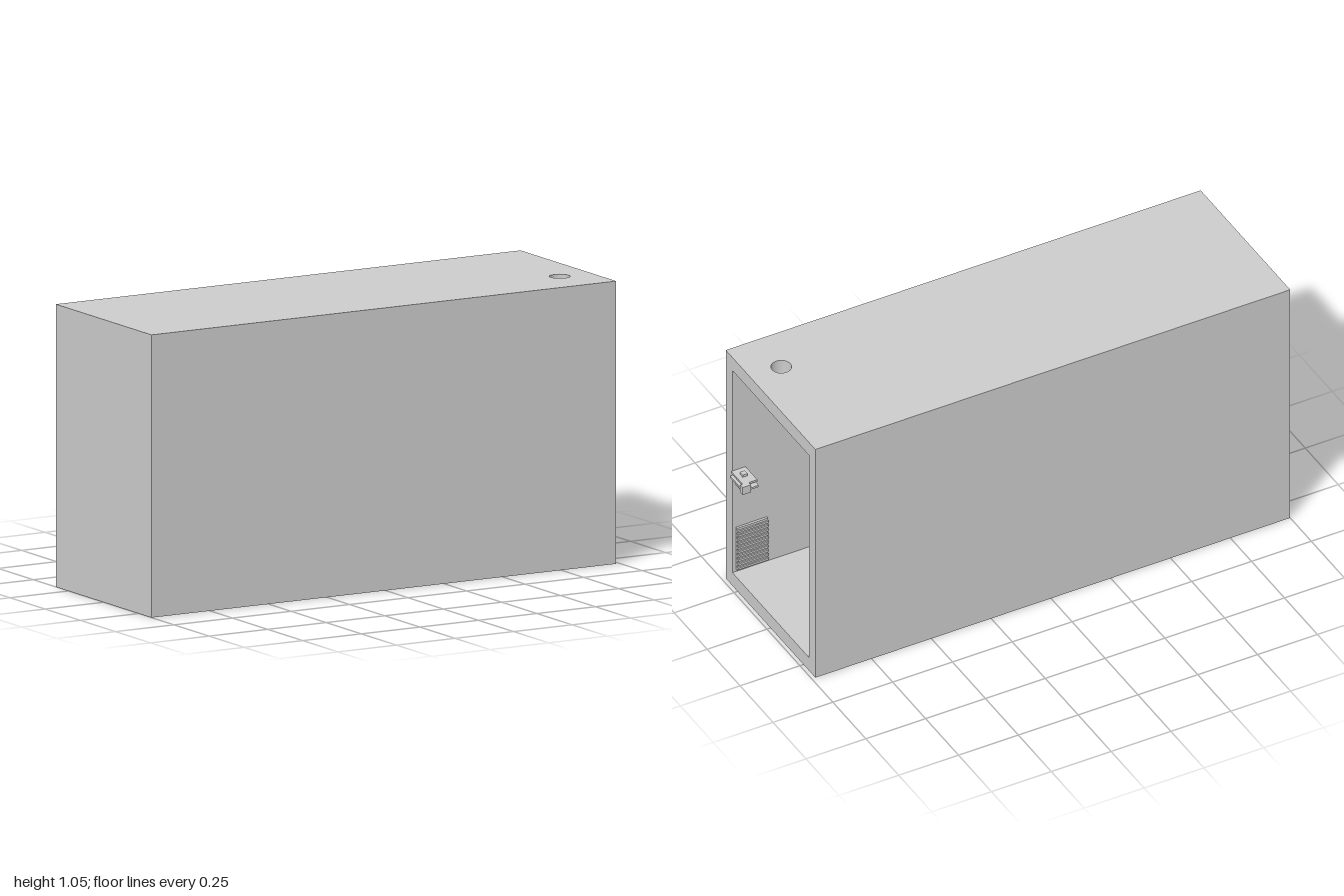
import * as THREE from 'three';

const mat = new THREE.MeshStandardMaterial({ color: 0xcccccc, side: THREE.DoubleSide });

export function createModel() {
  const root = new THREE.Group();

  const add = (name, geo, x = 0, y = 0, z = 0, parent = root) => {
    const m = new THREE.Mesh(geo, mat);
    m.name = name;
    m.position.set(x, y, z);
    parent.add(m);
    return m;
  };
  // box given by its limits
  const box = (name, x0, x1, y0, y1, z0, z1, parent) =>
    add(name, new THREE.BoxGeometry(x1 - x0, y1 - y0, z1 - z0),
      (x0 + x1) / 2, (y0 + y1) / 2, (z0 + z1) / 2, parent);
  const upright = (name, r, y0, y1, x, z, parent) =>
    add(name, new THREE.CylinderGeometry(r, r, y1 - y0, 32), x, (y0 + y1) / 2, z, parent);

  // Shell: horizontal plates with a round port, walls between them, open at +x
  const X0 = -1, X1 = 0.985, W = 0.34, T = 0.05, H = 1.055, FLOOR = 0.06, CEIL = 0.995;
  const PORT_X = 0.855, PORT_Z = 0.155, PORT_R = 0.038;
  const plate = (name, y0, y1, holeZ) => {
    const s = new THREE.Shape([[X0, -W], [X1, -W], [X1, W], [X0, W]].map(p => new THREE.Vector2(...p)));
    s.holes.push(new THREE.Path().absarc(PORT_X, -holeZ, PORT_R, 0, Math.PI * 2, true));
    const g = new THREE.ExtrudeGeometry(s, { depth: y1 - y0, bevelEnabled: false, curveSegments: 24 });
    add(name, g.rotateX(-Math.PI / 2), 0, y0, 0);
  };
  plate('floor', 0, FLOOR, -PORT_Z);
  plate('roof', CEIL, H, PORT_Z);
  box('frontWall', X0, X1, FLOOR, CEIL, W - T, W);
  box('backWall', X0, X1, FLOOR, CEIL, -W, -W + T);
  box('endWall', X0, X0 + T, FLOOR, CEIL, -W + T, W - T);

  // Open standing pipe over the floor port
  const pipe = [[PORT_R - 0.004, 0], [PORT_R, 0], [PORT_R, 0.17], [PORT_R - 0.004, 0.17], [PORT_R - 0.004, 0]];
  add('floorPipe', new THREE.LatheGeometry(pipe.map(p => new THREE.Vector2(...p)), 32), PORT_X, FLOOR, -PORT_Z);

  // Twin rods across the room
  for (const [i, y] of [0.735, 0.726].entries()) {
    const rod = add('crossRod', new THREE.CylinderGeometry(0.003, 0.003, 0.57, 8), 0.7 + i * 0.015, y, 0);
    rod.rotation.x = Math.PI / 2 + (i ? -0.008 : 0.008);
  }

  // Round wall fittings
  const dial = (x, y, side) => {
    const g = new THREE.Group();
    g.name = 'wallDial';
    const disc = add('dialDisc', new THREE.CylinderGeometry(0.036, 0.042, 0.014, 32), 0, 0, 0.007, g);
    disc.rotation.x = Math.PI / 2;
    add('dialRim', new THREE.TorusGeometry(0.037, 0.007, 10, 32), 0, 0, 0.01, g);
    g.position.set(x, y, side * (W - T));
    if (side > 0) g.rotation.y = Math.PI;
    root.add(g);
  };
  dial(0.763, 0.515, -1);
  dial(0.42, 0.365, 1);

  // Latch by the opening
  const latch = new THREE.Group();
  latch.name = 'latch';
  root.add(latch);
  box('latchTop', 0.93, 0.99, 0.522, 0.53, 0.2, 0.29, latch);
  box('latchBar', 0.93, 0.995, 0.503, 0.511, 0.19, 0.29, latch);
  box('latchHook', 0.965, 1.0, 0.495, 0.53, 0.185, 0.203, latch);
  box('latchBlock', 0.94, 0.985, 0.483, 0.5, 0.23, 0.265, latch);
  box('latchPost', 0.95, 0.97, 0.5, 0.54, 0.238, 0.26, latch);

  // Ribbed low panel on the front wall near the opening
  const ribs = new THREE.Group();
  ribs.name = 'ribbedPanel';
  root.add(ribs);
  box('panelBack', 0.84, 0.97, 0.07, 0.265, 0.281, 0.29, ribs);
  for (let i = 0; i < 10; i++)
    box('panelRib', 0.84, 0.97, 0.075 + i * 0.019, 0.084 + i * 0.019, 0.275, 0.281, ribs);

  // Banded drums stacked along both walls
  const drum = (x, y0, z) => {
    const g = new THREE.Group();
    g.name = 'drum';
    root.add(g);
    upright('drumBody', 0.042, y0, y0 + 0.18, x, z, g);
    for (const h of [0.01, 0.085, 0.165]) upright('drumBand', 0.046, y0 + h, y0 + h + 0.012, x, z, g);
  };
  for (const y of [0.1, 0.29, 0.53]) drum(0.3, y, 0.235);
  box('drumShelf', 0.24, 0.36, 0.515, 0.53, 0.19, 0.29);
  box('drumShelf', 0.24, 0.36, 0.275, 0.29, 0.19, 0.29);
  box('drumPlinth', 0.24, 0.36, FLOOR, 0.1, 0.19, 0.29);
  upright('smallBottle', 0.014, FLOOR, 0.11, 0.42, 0.255);

  // Tall tank with a collar, a drum on top of it
  upright('tankBody', 0.055, FLOOR, 0.53, 0.2, -0.233);
  upright('tankCollar', 0.058, 0.43, 0.443, 0.2, -0.232);
  upright('tankCollar', 0.058, 0.457, 0.47, 0.2, -0.232);
  drum(0.2, 0.53, -0.215);
  box('tankGauge', 0.25, 0.27, 0.3, 0.35, -0.205, -0.17);

  // Full-height cabinet with a slanted face carrying four framed panels
  const cab = new THREE.Shape([[0.1, -0.29], [0.1, -0.205], [0.02, -0.155], [-0.6, -0.155], [-0.6, -0.29]]
    .map(p => new THREE.Vector2(...p)));
  const cabGeo = new THREE.ExtrudeGeometry(cab, { depth: CEIL - FLOOR, bevelEnabled: false });
  add('cabinet', cabGeo.rotateX(-Math.PI / 2), 0, FLOOR, 0);
  for (const y of [0.205, 0.4, 0.595, 0.8]) {
    const g = new THREE.Group();
    g.name = 'cabinetPanel';
    add('panelFrame', new THREE.BoxGeometry(0.07, 0.125, 0.006), 0, 0, 0, g);
    add('panelInset', new THREE.BoxGeometry(0.055, 0.11, 0.01), 0, 0, 0, g);
    g.position.set(0.06, y, 0.18);
    g.rotation.y = Math.PI - Math.atan2(0.05, 0.08);
    root.add(g);
  }

  // Arched door and framed window on the end wall
  const arch = new THREE.Shape();
  arch.moveTo(-0.19, 0);
  arch.lineTo(0.19, 0);
  arch.lineTo(0.19, 0.3);
  arch.absarc(0, 0.3, 0.19, 0, Math.PI);
  const archGeo = new THREE.ExtrudeGeometry(arch, { depth: 0.02, bevelEnabled: false, curveSegments: 24 });
  add('archedDoor', archGeo.rotateY(Math.PI / 2), X0 + T, FLOOR, 0.01);
  const EX = X0 + T;
  box('windowPane', EX, EX + 0.006, 0.672, 0.773, -0.113, 0.131);
  for (const [y0, y1] of [[0.664, 0.672], [0.773, 0.781]]) box('windowFrame', EX, EX + 0.016, y0, y1, -0.121, 0.139);
  for (const [z0, z1] of [[-0.121, -0.113], [0.131, 0.139]]) box('windowFrame', EX, EX + 0.016, 0.672, 0.773, z0, z1);

  return root;
}
